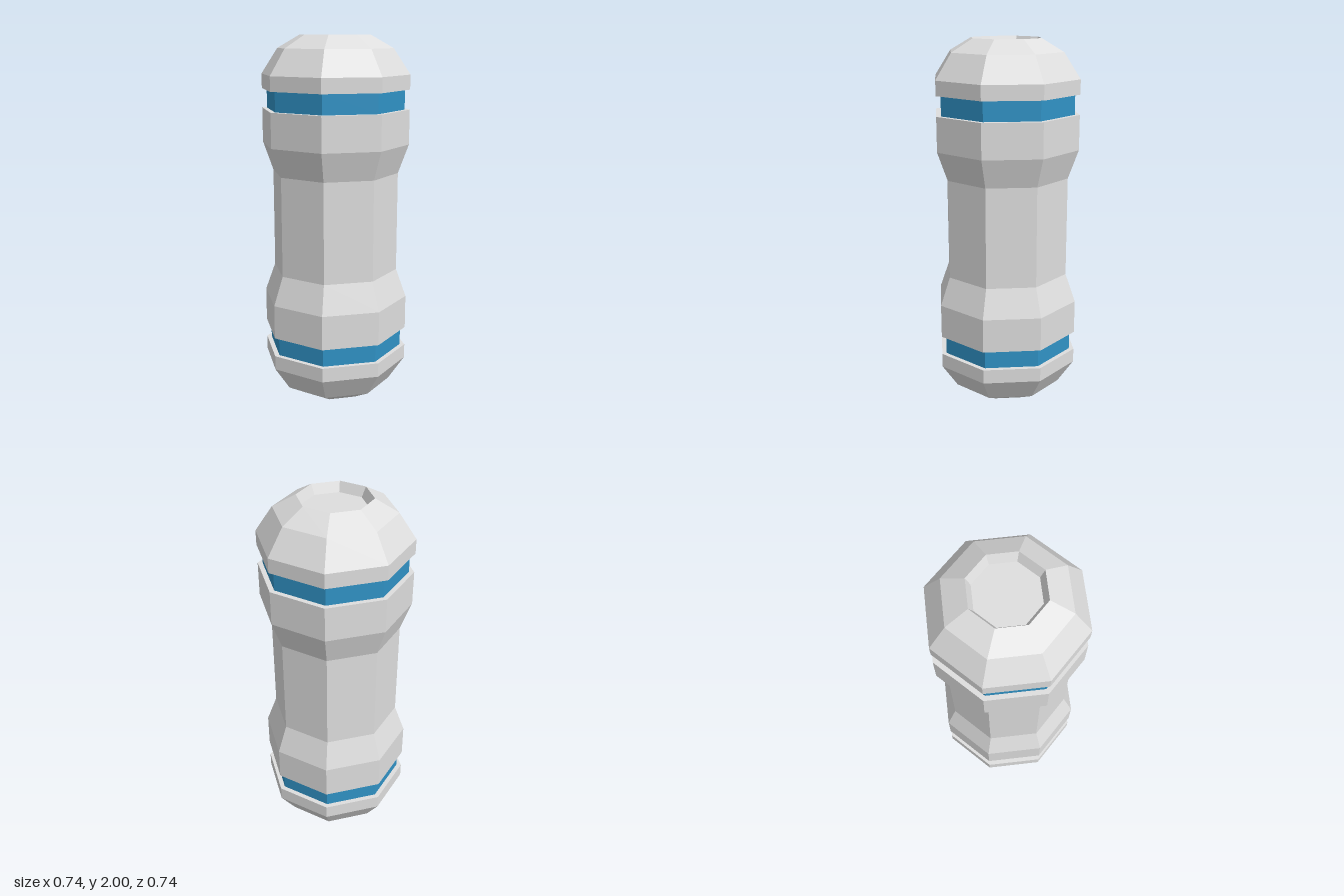
import * as THREE from 'three';

const SIDES = 8;
const HEIGHT = 2;
const TO_CORNER = 1 / Math.cos(Math.PI / SIDES); // flat-to-centre distance -> corner radius

const shell = new THREE.MeshStandardMaterial({ color: 0xdedede, flatShading: true });
shell.name = 'light grey shell';
const blue = new THREE.MeshStandardMaterial({ color: 0x3092c5, flatShading: true });
blue.name = 'blue band';

// Octagonal turned part from [half width, y] points, listed bottom to top
function turned(name, profile, material) {
  const points = profile.map(([r, y]) => new THREE.Vector2(r * TO_CORNER, y));
  const geometry = new THREE.LatheGeometry(points, SIDES, Math.PI / SIDES).toNonIndexed();
  geometry.computeVertexNormals();
  const mesh = new THREE.Mesh(geometry, material);
  mesh.name = name;
  return mesh;
}

// Same profile turned upside down about the middle of the model
const flip = (profile) => profile.map(([r, y]) => [r, HEIGHT - y]).reverse();

export function createModel() {
  const group = new THREE.Group();
  group.name = 'capsule';

  const wide = 0.372, groove = 0.347, waist = 0.32;

  // End cap with a recessed end and the lip beside the groove
  const cap = [
    [0, 0.05], [0.155, 0.05], [0.178, 0], [0.289, 0.068],
    [wide, 0.203], [wide, 0.281], [groove, 0.281],
  ];
  // Coloured band at the bottom of the groove
  const band = [[groove, 0.281], [groove, 0.386]];
  // Lower half of the waisted body
  const body = [[groove, 0.386], [wide, 0.386], [wide, 0.572], [waist, 0.728]];

  group.add(
    turned('lowerCap', cap, shell),
    turned('lowerBand', band, blue),
    turned('body', [...body, ...flip(body)], shell),
    turned('upperBand', flip(band), blue),
    turned('upperCap', flip(cap), shell),
  );
  return group;
}
